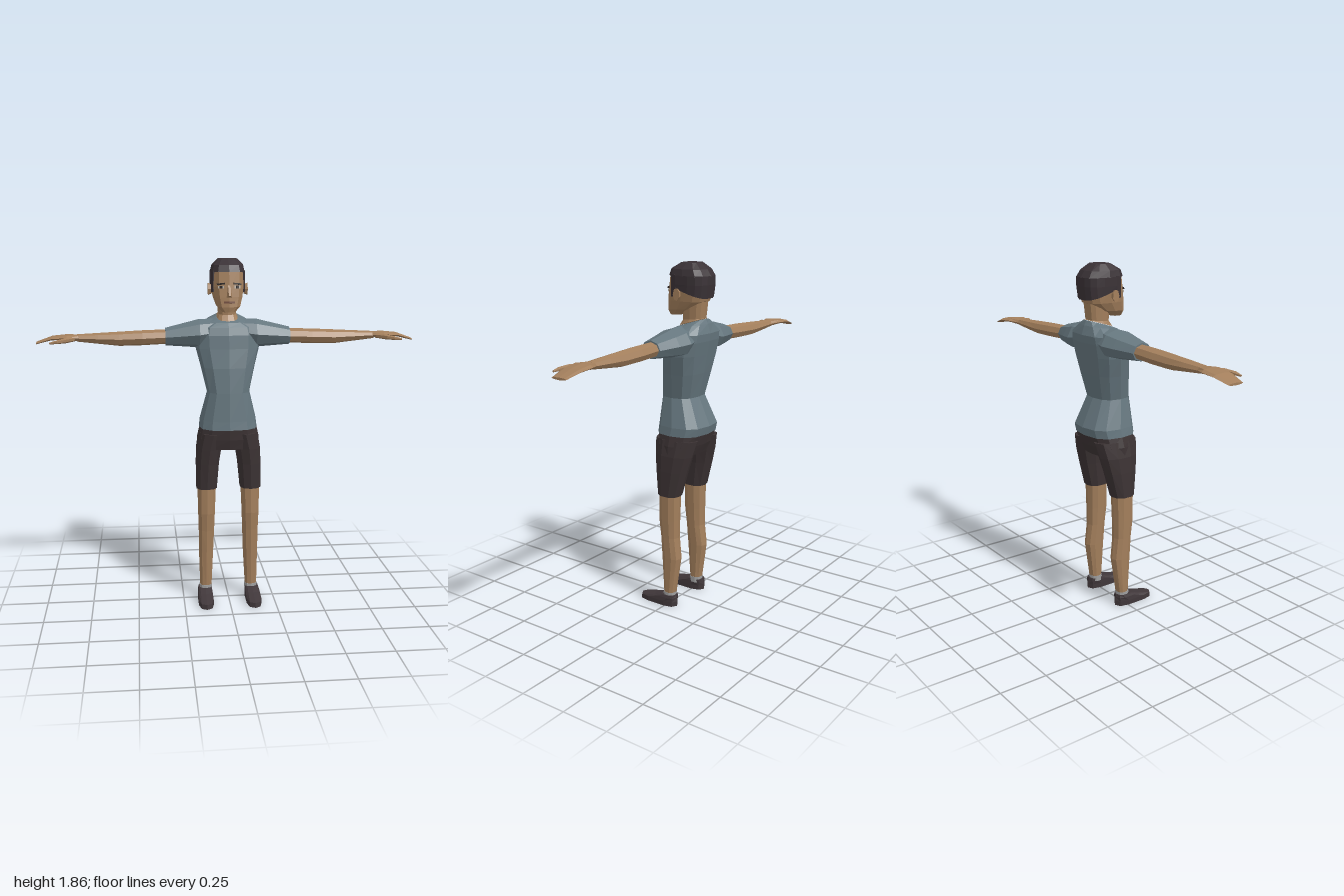
import * as THREE from 'three';
import { ConvexGeometry } from 'three/addons/geometries/ConvexGeometry.js';

const mat = (name, color, side = THREE.FrontSide) => {
  const m = new THREE.MeshStandardMaterial({ color, flatShading: true, side });
  m.name = name;
  return m;
};

// Horizontal section: half width, front z, back z; tilt raises the back edge.
function ringY(y, hw, zf, zb, { cx = 0, tilt = 0, p = 0.75, from = 0, to = Math.PI * 2, n = 12 } = {}) {
  const zc = (zf + zb) / 2, d = (zf - zb) / 2;
  const pw = (v) => Math.sign(v) * Math.pow(Math.abs(v), p);
  return Array.from({ length: n }, (_, i) => {
    const a = from + ((to - from) * i) / n;
    const dz = pw(Math.cos(a)) * d;
    return new THREE.Vector3(cx + pw(Math.sin(a)) * hw, y - dz * tilt, zc + dz);
  });
}

// Section across an arm, between y0..y1 and z0..z1.
function ringX(x, y0, y1, z0, z1, n = 8) {
  return Array.from({ length: n }, (_, i) => {
    const a = (i / n) * Math.PI * 2;
    return new THREE.Vector3(x, (y0 + y1) / 2 + (Math.cos(a) * (y1 - y0)) / 2,
      (z0 + z1) / 2 + (Math.sin(a) * (z1 - z0)) / 2);
  });
}

// Skin through the sections; side = -1 mirrors the form in x.
function loft(rings, side = 1, closed = true) {
  const pos = [];
  const tri = (a, b, c) => {
    for (const v of side > 0 ? [a, b, c] : [a, c, b]) pos.push(v.x * side, v.y, v.z);
  };
  const n = rings[0].length;
  for (let i = 0; i < rings.length - 1; i++) {
    for (let j = 0; j < (closed ? n : n - 1); j++) {
      const k = (j + 1) % n, lo = rings[i], hi = rings[i + 1];
      tri(lo[j], lo[k], hi[k]);
      tri(lo[j], hi[k], hi[j]);
    }
  }
  if (closed) {
    [rings[0], rings[rings.length - 1]].forEach((r, end) => {
      const c = r.reduce((s, v) => s.add(v), new THREE.Vector3()).divideScalar(n);
      for (let j = 0; j < n; j++) {
        const k = (j + 1) % n;
        if (end) tri(c, r[j], r[k]); else tri(c, r[k], r[j]);
      }
    });
  }
  const g = new THREE.BufferGeometry();
  g.setAttribute('position', new THREE.Float32BufferAttribute(pos, 3));
  g.computeVertexNormals();
  return g;
}

export function createModel() {
  const model = new THREE.Group();
  model.name = 'standingMan';
  const skin = mat('skin', 0xa37f5c);
  const shirt = mat('shirt blue grey', 0x66777f);
  const dark = mat('shorts charcoal', 0x3c3334);
  const hairMat = mat('hair', 0x3a3236, THREE.DoubleSide);
  const shoeMat = mat('shoe', 0x40373a);
  const sockMat = mat('sock', 0x9c9c9c);
  const white = mat('eye white', 0xb8b0a4);
  const black = mat('eye dark', 0x241d1c);
  const lip = mat('lip', 0x704a3a);

  const add = (name, geo, material) => {
    const m = new THREE.Mesh(geo, material);
    m.name = name;
    model.add(m);
    return m;
  };
  const stack = (rows, opt) => rows.map(([y, hw, zf, zb, tilt = 0]) => ringY(y, hw, zf, zb, { ...opt, tilt }));
  const limb = (rows, p = 0.85) => rows.map(([y, x0, x1, zf, zb]) =>
    ringY(y, (x1 - x0) / 2, zf, zb, { cx: (x0 + x1) / 2, p, n: 10 }));

  // Shirt body
  add('shirtBody', loft(stack([
    [0.975, 0.157, 0.102, -0.168], [1.02, 0.152, 0.097, -0.18], [1.17, 0.114, 0.084, -0.11],
    [1.30, 0.144, 0.07, -0.14], [1.40, 0.17, 0.052, -0.16], [1.47, 0.175, 0.044, -0.174],
    [1.51, 0.165, 0.03, -0.178], [1.545, 0.105, 0.01, -0.162, 0.15], [1.56, 0.06, 0, -0.15, 0.3],
  ])), shirt);

  // Neck, opening out to the collar
  add('neck', loft(stack([
    [1.562, 0.057, -0.002, -0.147, 0.3], [1.578, 0.048, -0.022, -0.14, 0.1], [1.67, 0.052, -0.02, -0.15],
  ])), skin);

  // Pelvis of the shorts
  add('shortsPelvis', loft(stack([
    [0.865, 0.168, 0.078, -0.125], [0.92, 0.168, 0.092, -0.15], [0.98, 0.154, 0.099, -0.166],
  ])), dark);

  for (const s of [1, -1]) {
    const side = s > 0 ? 'left' : 'right';

    // Arm
    add(side + 'Sleeve', loft([
      ringX(0.06, 1.42, 1.55, -0.15, 0.02), ringX(0.15, 1.398, 1.549, -0.166, 0.038),
      ringX(0.22, 1.404, 1.532, -0.146, 0.027), ringX(0.33, 1.413, 1.506, -0.106, 0.01),
    ], s), shirt);
    add(side + 'Arm', loft([
      ringX(0.31, 1.422, 1.498, -0.098, 0.003), ringX(0.45, 1.415, 1.494, -0.102, 0.005),
      ringX(0.57, 1.413, 1.488, -0.1, 0), ringX(0.68, 1.425, 1.482, -0.097, -0.01),
      ringX(0.79, 1.437, 1.476, -0.09, -0.024),
    ], s), skin);
    add(side + 'Hand', loft([
      ringX(0.78, 1.438, 1.475, -0.09, -0.024), ringX(0.84, 1.448, 1.477, -0.121, 0.004),
      ringX(0.92, 1.446, 1.468, -0.126, -0.008), ringX(1.0, 1.427, 1.439, -0.108, -0.02),
    ], s), skin);
    add(side + 'Thumb', loft([
      ringX(0.80, 1.442, 1.466, -0.05, -0.01, 6), ringX(0.845, 1.438, 1.464, 0, 0.034, 6),
      ringX(0.885, 1.437, 1.457, 0.02, 0.052, 6), ringX(0.925, 1.436, 1.446, 0.036, 0.046, 6),
    ], s), skin);

    // Leg
    add(side + 'ShortsLeg', loft(limb([
      [0.64, 0.062, 0.177, 0.057, -0.073], [0.78, 0.05, 0.177, 0.073, -0.113],
      [0.865, 0.036, 0.173, 0.084, -0.138], [0.95, 0.012, 0.158, 0.095, -0.16],
    ]), s), dark);
    add(side + 'Leg', loft(limb([
      [0.06, 0.094, 0.158, 0.02, -0.042], [0.28, 0.083, 0.163, 0.034, -0.076],
      [0.40, 0.078, 0.164, 0.041, -0.061], [0.50, 0.074, 0.167, 0.053, -0.063],
      [0.66, 0.067, 0.17, 0.052, -0.067],
    ]), s), skin);
    add(side + 'Sock', loft(limb([
      [0.045, 0.09, 0.162, 0.026, -0.047], [0.077, 0.091, 0.161, 0.024, -0.045],
    ]), s), sockMat);
    add(side + 'Shoe', loft(limb([
      [0, 0.09, 0.174, 0.18, -0.06], [0.026, 0.09, 0.174, 0.176, -0.06],
      [0.048, 0.091, 0.171, 0.08, -0.056], [0.062, 0.094, 0.166, 0.036, -0.052],
    ], 0.7), s), shoeMat);
  }

  // Head
  add('head', loft(stack([
    [1.593, 0.034, 0.06, 0.0], [1.625, 0.064, 0.066, -0.09, 0.08], [1.67, 0.079, 0.062, -0.152],
    [1.72, 0.086, 0.055, -0.166], [1.81, 0.086, 0.043, -0.165],
  ], { p: 0.7 })), skin);
  add('nose', new ConvexGeometry([
    [-0.007, 1.735, 0.05], [0.007, 1.735, 0.05], [-0.007, 1.73, 0.04], [0.007, 1.73, 0.04],
    [-0.016, 1.667, 0.056], [0.016, 1.667, 0.056], [-0.005, 1.678, 0.084], [0.005, 1.678, 0.084],
  ].map((v) => new THREE.Vector3(...v))), skin);

  // Hair: cap, then an open band around the sides and back
  add('hairCap', loft(stack([
    [1.797, 0.092, 0.051, -0.181], [1.832, 0.083, 0.038, -0.158], [1.863, 0.052, -0.015, -0.115],
  ], { p: 0.7 })), hairMat);
  const back = { p: 0.7, from: Math.PI * 0.42, to: Math.PI * 1.7, n: 10 };
  back.to = back.from + (Math.PI * 1.16 * back.n) / (back.n - 1);
  add('hairBack', loft([
    ringY(1.722, 0.09, 0.054, -0.172, { ...back, tilt: -0.32 }),
    ringY(1.755, 0.092, 0.052, -0.181, back), ringY(1.80, 0.092, 0.051, -0.181, back),
  ], 1, false), hairMat);

  // Face plates and ears, mirrored
  for (const s of [1, -1]) {
    const side = s > 0 ? 'left' : 'right';
    const plate = (name, w, h, x, y, z, material) => {
      const m = add(side + name, new THREE.BoxGeometry(w, h, 0.006), material);
      m.position.set(x * s, y, z);
      m.rotation.set(-0.13, 0.2 * s, 0);
      return m;
    };
    plate('Eye', 0.032, 0.013, 0.042, 1.721, 0.0465, white);
    plate('Iris', 0.014, 0.013, 0.042, 1.721, 0.0475, black);
    plate('Eyebrow', 0.042, 0.008, 0.043, 1.737, 0.0455, black).rotation.z = -0.08 * s;
    plate('Mouth', 0.028, 0.009, 0.0135, 1.644, 0.0615, lip);

    const burn = add(side + 'Sideburn', new THREE.BoxGeometry(0.008, 0.11, 0.034), hairMat);
    burn.position.set(0.081 * s, 1.748, -0.006);
    burn.rotation.y = -0.25 * s;

    const ear = add(side + 'Ear', new THREE.CylinderGeometry(0.024, 0.018, 0.02, 7), skin);
    ear.scale.set(1.35, 1, 0.85);
    ear.position.set(0.094 * s, 1.707, -0.037);
    ear.rotation.z = (-Math.PI / 2) * s;
  }
  return model;
}
